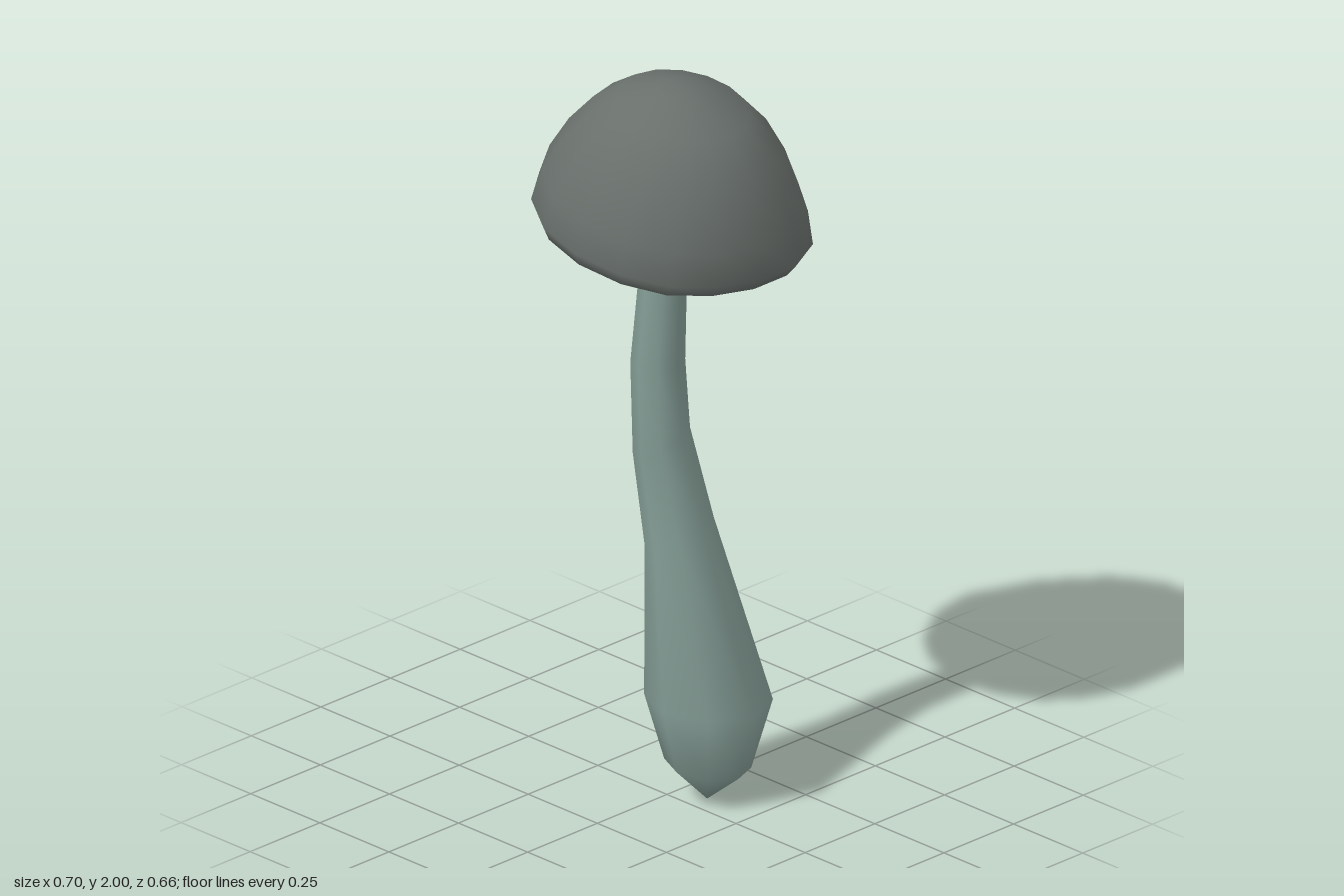
import * as THREE from 'three';
import { mergeVertices } from 'three/addons/utils/BufferGeometryUtils.js';

// Weld a reshaped lathe so that its normals are smooth across the seam
function smooth(geometry) {
  geometry.deleteAttribute('uv');
  geometry.deleteAttribute('normal');
  const welded = mergeVertices(geometry, 1e-5);
  welded.computeVertexNormals();
  return welded;
}

function lathe(profile, segments) {
  return new THREE.LatheGeometry(profile.map(([r, y]) => new THREE.Vector2(r, y)), segments);
}

function part(name, geometry, color) {
  const mesh = new THREE.Mesh(smooth(geometry), new THREE.MeshStandardMaterial({ color }));
  mesh.name = name;
  return mesh;
}

// Bent stem: each ring is [radius, y, centre x, centre z, tilt]
function createStem() {
  const rings = [
    [0, 0, 0.09, -0.055, 0],
    [0.111, 0.1, 0.091, -0.056, -0.08],
    [0.164, 0.287, 0.093, -0.057, -0.03],
    [0.088, 0.75, 0.038, -0.006, 0.32],
    [0.073, 1.005, 0.006, 0.026, 0.35],
    [0.07, 1.23, 0.003, 0.036, 0.05],
    [0.059, 1.54, 0.017, 0.026, -0.08],
    [0.048, 1.84, 0.037, 0.01, -0.1],
    [0, 1.85, 0.037, 0.01, 0],
  ];
  const geometry = lathe(rings, 8);
  const pos = geometry.attributes.position;
  for (let i = 0; i < pos.count; i++) {
    const [, , cx, cz, tilt] = rings[i % rings.length];
    const x = pos.getX(i), y = pos.getY(i), z = pos.getZ(i);
    pos.setXYZ(i, x + cx, y + tilt * (x - z), z + cz);
  }
  return part('stem', geometry, 0x849c95);
}

// Uneven outline of the cap's rim, as [x, z] per spoke
const RIM_RADIUS = 0.357;
const RIM = [
  [0, 0.33], [0.137, 0.302], [0.249, 0.235], [0.32, 0.13],
  [0.357, 0.01], [0.357, -0.115], [0.306, -0.225], [0.193, -0.302],
  [0.04, -0.33], [-0.122, -0.302], [-0.239, -0.22], [-0.315, -0.11],
  [-0.357, 0.01], [-0.336, 0.13], [-0.254, 0.24], [-0.137, 0.31],
];

// Lathe that follows the uneven rim below and rounds off towards the crown
function capShell(profile) {
  const geometry = lathe(profile, RIM.length);
  const pos = geometry.attributes.position;
  for (let i = 0; i < pos.count; i++) {
    const [r, y] = profile[i % profile.length];
    const [rimX, rimZ] = RIM[Math.floor(i / profile.length) % RIM.length];
    const evenness = THREE.MathUtils.clamp(y / 0.3, 0, 1);
    const scale = r / RIM_RADIUS;
    pos.setX(i, THREE.MathUtils.lerp(rimX * scale, pos.getX(i), evenness));
    pos.setZ(i, THREE.MathUtils.lerp(rimZ * scale, pos.getZ(i) * 0.94, evenness));
  }
  return geometry;
}

// Tilted hollow cap: rolled lip and dome outside, dark hollow inside
function createCap() {
  const dome = capShell([
    [0.27, -0.02], [0.305, -0.044], [0.336, -0.036], [RIM_RADIUS, 0.002],
    [0.342, 0.09], [0.302, 0.187], [0.246, 0.274], [0.178, 0.335], [0.075, 0.376], [0, 0.384],
  ]);
  const hollow = capShell([
    [0, 0.3], [0.12, 0.275], [0.21, 0.19], [0.255, 0.08], [0.27, -0.02],
  ]);
  const cap = new THREE.Group();
  cap.name = 'cap';
  cap.add(part('capDome', dome, 0x69706c), part('capHollow', hollow, 0x3f4442));
  cap.position.y = 1.62;
  cap.rotation.z = THREE.MathUtils.degToRad(-10);
  return cap;
}

export function createModel() {
  const mushroom = new THREE.Group();
  mushroom.name = 'mushroom';
  mushroom.add(createStem(), createCap());
  return mushroom;
}
